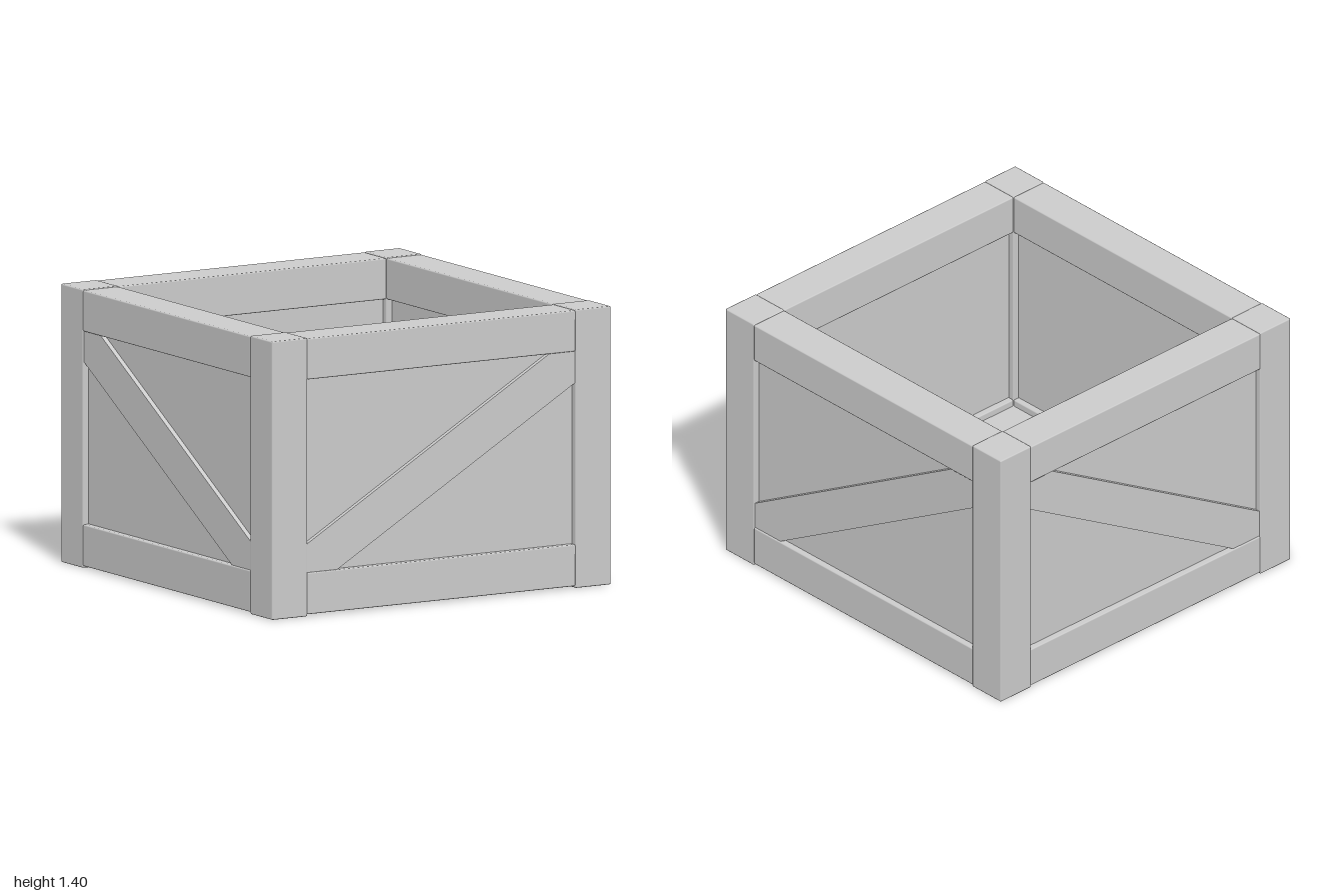
import * as THREE from 'three';
import { RoundedBoxGeometry } from 'three/addons/geometries/RoundedBoxGeometry.js';

const X = 0.99, Z = 0.997, H = 1.4;   // half width, half depth, height
const T = 0.208;                      // timber thickness
const RECESS = 0.033;                 // how far the panels sit behind the frame
const LOW = 0.22, HIGH = 1.193;       // opening between the rails

export function createModel() {
  const crate = new THREE.Group();
  crate.name = 'openCrate';
  const wood = new THREE.MeshStandardMaterial({ color: 0xcccccc });

  const add = (name, geometry, x, y, z, parent = crate) => {
    const mesh = new THREE.Mesh(geometry, wood);
    mesh.name = name;
    mesh.position.set(x, y, z);
    parent.add(mesh);
    return mesh;
  };
  const timber = (w, h, d) => new RoundedBoxGeometry(w, h, d, 1, 0.007);

  // Corner posts
  for (const sx of [-1, 1]) for (const sz of [-1, 1]) {
    add('cornerPost', timber(T, H + 0.003, T), sx * (X - T / 2), H / 2 + 0.0015, sz * (Z - T / 2));
  }

  // One wall facing +z: two rails, a recessed panel and a diagonal brace.
  // rise = 1 climbs towards the wall's own +x, -1 the other way.
  const wall = (name, half, reach, rise, angle) => {
    const group = new THREE.Group();
    group.name = name;
    group.rotation.y = angle;
    crate.add(group);
    const open = half - T;            // half width of the opening

    const railZ = reach - T / 2;
    add('topRail', timber(open * 2 + 0.004, H - HIGH, T), 0, (H + HIGH) / 2, railZ, group);
    add('bottomRail', timber(open * 2 + 0.004, LOW - 0.01, T), 0, (LOW + 0.01) / 2, railZ, group);

    const panelDepth = T - 2 * RECESS;
    add('panel', new THREE.BoxGeometry(open * 2 + 0.04, HIGH - LOW + 0.04, panelDepth),
      0, (LOW + HIGH) / 2, railZ, group);

    // Brace cut to fit the corners of the opening
    const slope = 0.586, upper = 0.822, lower = 0.574;
    const outline = [
      [-open, LOW], [(LOW - lower) / slope, LOW], [open, lower + slope * open],
      [open, HIGH], [(HIGH - upper) / slope, HIGH], [-open, upper - slope * open],
    ].map(([x, y]) => new THREE.Vector2(x * rise, y));
    const brace = new THREE.ExtrudeGeometry(new THREE.Shape(outline),
      { depth: 0.027, bevelEnabled: false });
    add('diagonalBrace', brace, 0, 0, reach - RECESS - 0.002, group);
  };

  wall('frontWall', X, Z, 1, 0);
  wall('leftWall', Z, X, 1, Math.PI / 2);
  wall('backWall', X, Z, -1, Math.PI);
  wall('rightWall', Z, X, -1, -Math.PI / 2);

  // Floor panel, set slightly above the underside of the rails
  add('floor', new THREE.BoxGeometry((X - T) * 2 + 0.04, T - 2 * RECESS, (Z - T) * 2 + 0.04),
    0, 0.01 + T / 2, 0);

  return crate;
}
